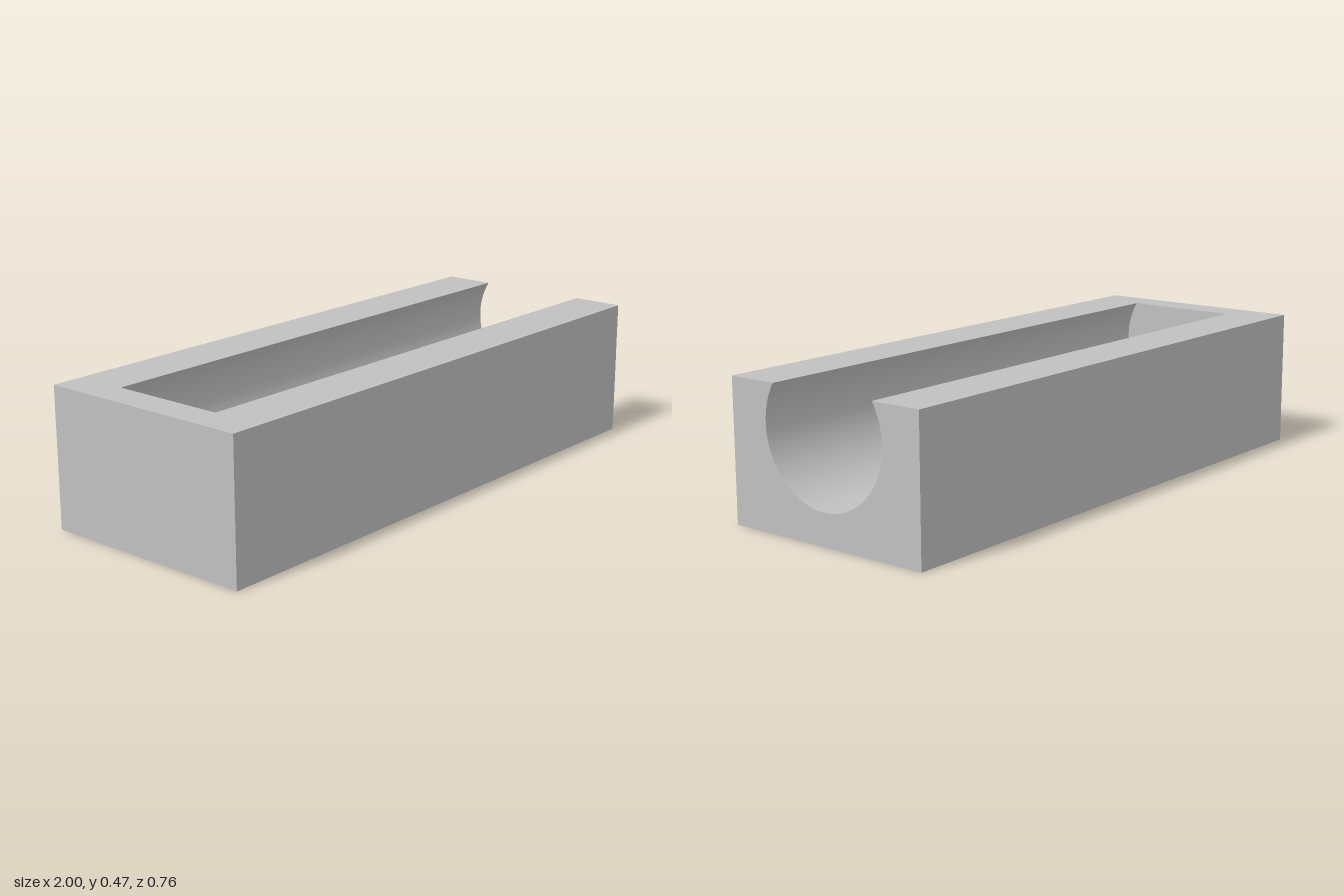
import * as THREE from 'three';
import { ParametricGeometry } from 'three/addons/geometries/ParametricGeometry.js';

const L = 1, H = 0.47, D = 0.379;              // half length, height, half depth
const R = 0.237, CY = 0.344, X0 = -0.89;       // channel radius, axis height, closed end
const HOLES = [-0.685, -0.175, 0.375], HR = 0.05;
const TH = Math.asin((H - CY) / R);            // where the channel meets the top
const ZO = R * Math.cos(TH);                   // half width of the opening
const B = 0.3, S = R * Math.sin(B);            // floor strip: half angle, half width

const floorY = (z) => CY - Math.sqrt(R * R - z * z);

function poly(points) {
  return new THREE.Shape(points.map(([x, y]) => new THREE.Vector2(x, y)));
}

export function createModel() {
  const grey = new THREE.MeshStandardMaterial({ color: 0xc0c0c0 });
  grey.name = 'plain grey';
  const model = new THREE.Group();
  model.name = 'channelBlock';

  const add = (name, geometry, parent = model) => {
    const mesh = new THREE.Mesh(geometry, grey);
    mesh.name = name;
    parent.add(mesh);
    return mesh;
  };
  const face = (name, shape) => add(name, new THREE.ShapeGeometry(shape, 96));

  // Long side walls and the closed end
  const side = poly([[-L, 0], [L, 0], [L, H], [-L, H]]);
  face('frontWall', side).position.z = D;
  const back = face('backWall', side);
  back.position.z = -D;
  back.rotation.y = Math.PI;
  const closed = face('closedEnd', poly([[-D, 0], [D, 0], [D, H], [-D, H]]));
  closed.position.x = -L;
  closed.rotation.y = -Math.PI / 2;

  // Open end with the round notch
  const notch = poly([[-D, 0], [D, 0], [D, H], [ZO, H]]);
  notch.absarc(0, CY, R, TH, Math.PI - TH, true);
  notch.lineTo(-D, H);
  const open = face('openEnd', notch);
  open.position.x = L;
  open.rotation.y = Math.PI / 2;

  // Flat wall where the channel stops
  const stop = new THREE.Shape();
  stop.absarc(0, CY, R, TH, Math.PI - TH, true);
  const stopWall = face('channelEndWall', stop);
  stopWall.position.x = X0;
  stopWall.rotation.y = Math.PI / 2;

  // Top rim around the slot
  const rim = face('topRim', poly([
    [-L, -D], [L, -D], [L, -ZO], [X0, -ZO], [X0, ZO], [L, ZO], [L, D], [-L, D],
  ]));
  rim.position.y = H;
  rim.rotation.x = -Math.PI / 2;

  // Underside with the drilled holes
  const base = poly([[-L, -D], [L, -D], [L, D], [-L, D]]);
  for (const x of HOLES) {
    base.holes.push(new THREE.Path().absarc(x, 0, HR, 0, Math.PI * 2, true));
  }
  face('underside', base).rotation.x = Math.PI / 2;

  // Curved channel: two sides and a floor strip interrupted by the holes
  const channel = new THREE.Group();
  channel.name = 'channel';
  model.add(channel);
  const bend = (name, a0, a1, x0, x1, steps) => add(name, new ParametricGeometry((u, v, p) => {
    const a = a0 + (a1 - a0) * u;
    p.set(x0 + (x1 - x0) * v, CY - R * Math.cos(a), R * Math.sin(a));
  }, steps, 1), channel);
  const A = Math.PI / 2 + TH;
  bend('channelFrontSide', B, A, X0, L, 48);
  bend('channelBackSide', -A, -B, X0, L, 48);

  let start = X0;
  for (const x of [...HOLES, L + S]) {
    bend('channelFloor', -B, B, start, x - S, 16);
    start = x + S;
  }

  for (const x of HOLES) {
    // Floor patch running from the round hole out to a square
    add('holeSurround', new ParametricGeometry((u, v, p) => {
      const t = u * Math.PI * 2, c = Math.cos(t), s = Math.sin(t);
      const d = HR + (S / Math.max(Math.abs(c), Math.abs(s)) - HR) * v;
      p.set(x + c * d, floorY(s * d), s * d);
    }, 64, 4), channel);

    // Hole wall, trimmed to the curved floor
    add('drilledHole', new ParametricGeometry((u, v, p) => {
      const t = u * Math.PI * 2, z = HR * Math.sin(t);
      p.set(x + HR * Math.cos(t), floorY(z) * v, z);
    }, 64, 1));
  }
  return model;
}
